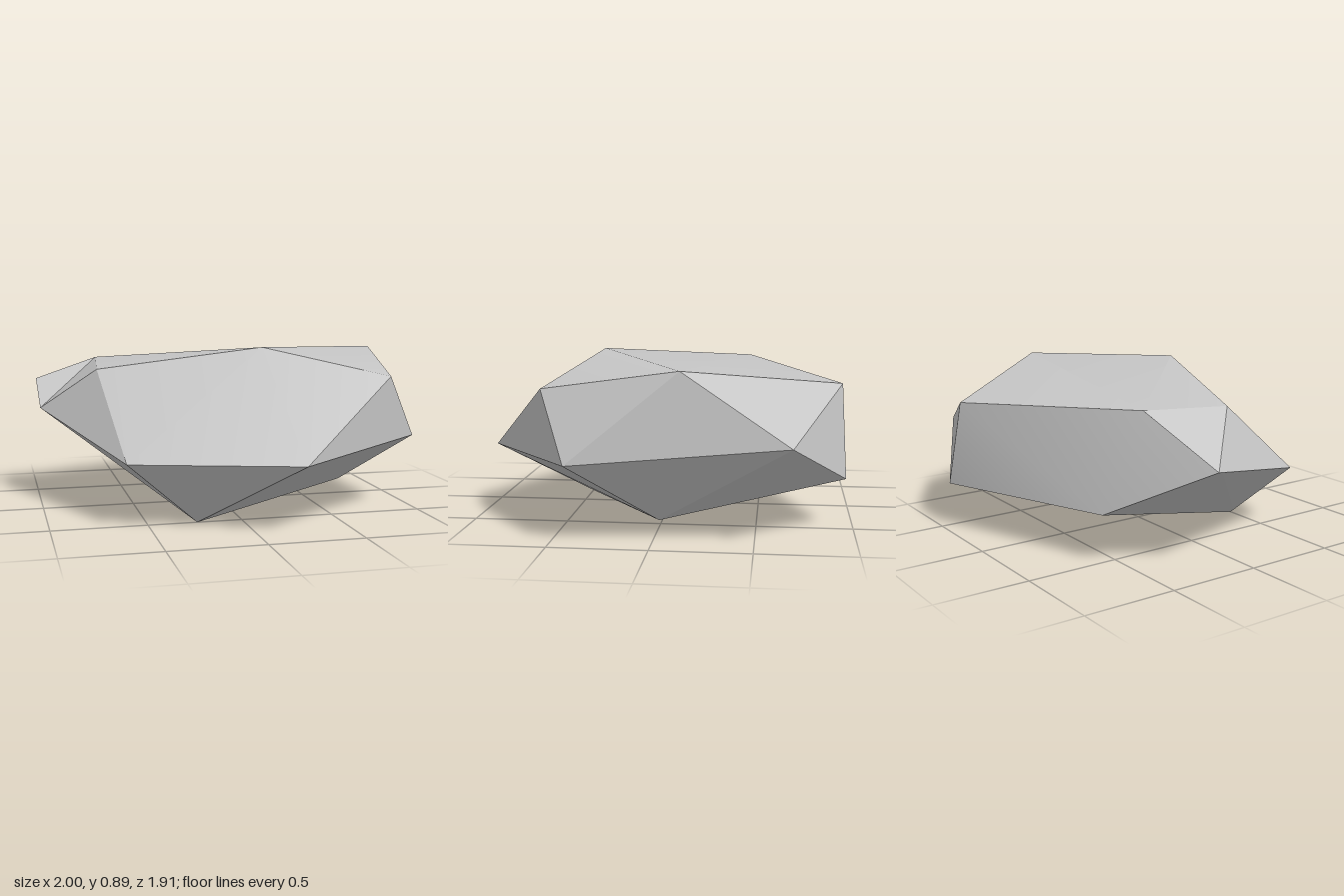
import * as THREE from 'three';
import { toCreasedNormals } from 'three/addons/utils/BufferGeometryUtils.js';
import { ConvexGeometry } from 'three/addons/geometries/ConvexGeometry.js';

const V = (x, y, z) => new THREE.Vector3(x, y, z);

export function createModel() {
  const group = new THREE.Group();
  group.name = 'rock';
  const stone = new THREE.MeshStandardMaterial({ color: 0xc5c5c5, side: THREE.DoubleSide });
  stone.name = 'stone grey';

  // corners shared by the boulder and the chip
  const ridge = V(-0.65, 0.797, -0.43);
  const shoulder = V(-0.99, 0.53, -0.23);

  // faceted boulder: hull of its corners, only the faintest edges softened
  const corners = [
    // top facet
    ridge, V(-0.70, 0.77, 0.06), V(0.15, 0.895, 0.345), V(0.95, 0.855, -0.145), V(0.32, 0.735, -0.94),
    // widest ring
    shoulder, V(-0.62, 0.34, 0.60), V(0.21, 0.36, 0.955), V(1.0, 0.40, 0.41),
    V(0.80, 0.745, 0.56), V(0.99, 0.50, -0.68),
    // underside
    V(0.46, 0.255, -0.96), V(-0.54, 0.267, -0.60), V(-0.24, 0, 0.50), V(0.73, 0.08, -0.02),
  ];
  const boulder = new THREE.Mesh(toCreasedNormals(new ConvexGeometry(corners), 0.35), stone);
  boulder.name = 'boulder';
  group.add(boulder);

  // thin chip standing out from the side
  const chipGeometry = new THREE.BufferGeometry().setFromPoints([ridge, V(-1.0, 0.68, -0.42), shoulder]);
  chipGeometry.computeVertexNormals();
  const chip = new THREE.Mesh(chipGeometry, stone);
  chip.name = 'chip';
  group.add(chip);

  return group;
}
